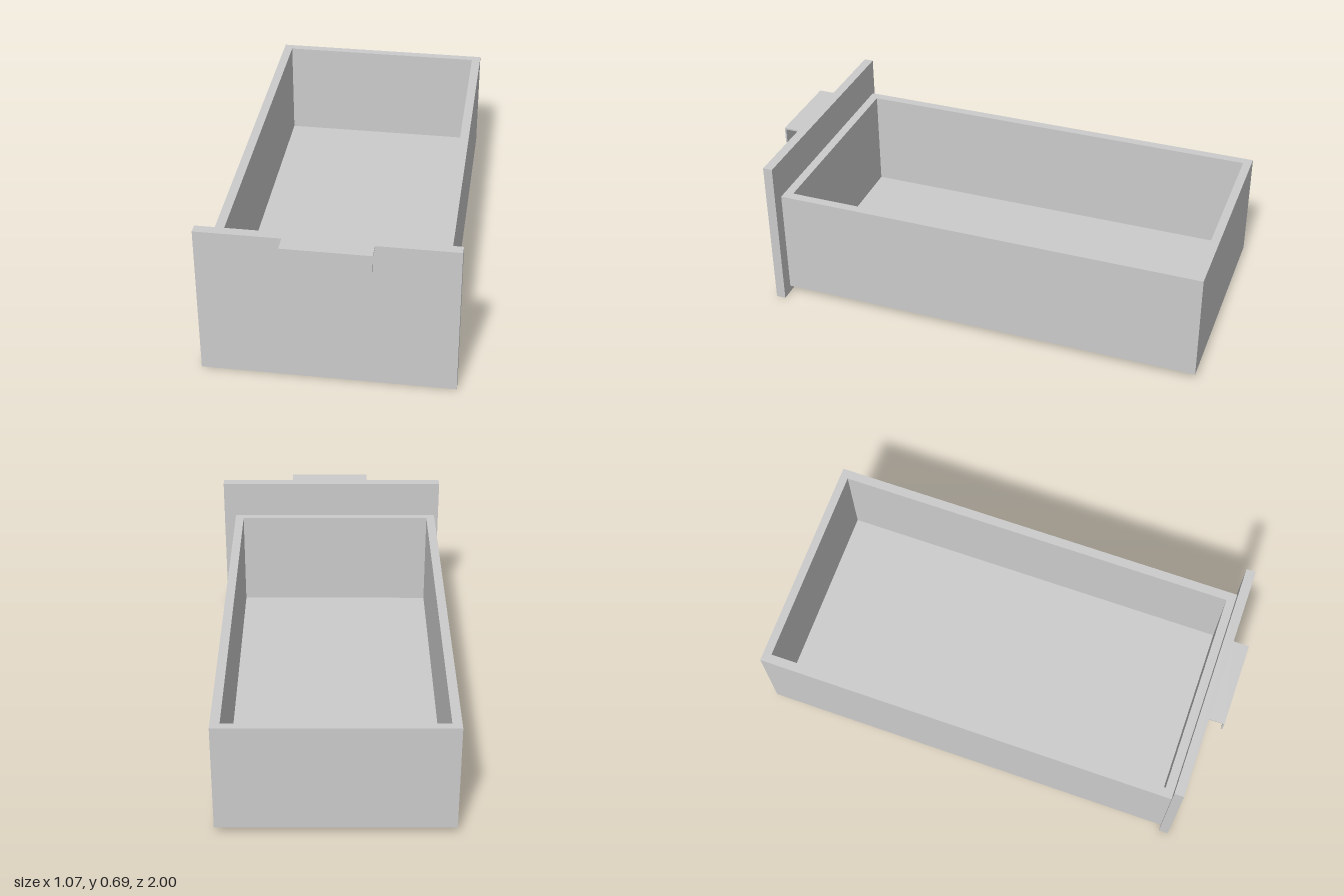
import * as THREE from 'three';

const material = new THREE.MeshStandardMaterial({ color: 0xcccccc, flatShading: true });

// Extruded profile as a named mesh, starting at z = 0
function extrude(name, shape, depth) {
  const mesh = new THREE.Mesh(
    new THREE.ExtrudeGeometry(shape, { depth, bevelEnabled: false }), material);
  mesh.name = name;
  return mesh;
}

// Box given by its lower and upper corners
function block(name, [x0, y0, z0], [x1, y1, z1]) {
  const mesh = new THREE.Mesh(new THREE.BoxGeometry(x1 - x0, y1 - y0, z1 - z0), material);
  mesh.position.set((x0 + x1) / 2, (y0 + y1) / 2, (z0 + z1) / 2);
  mesh.name = name;
  return mesh;
}

const rectangle = (x0, y0, x1, y1) => [[x0, y0], [x1, y0], [x1, y1], [x0, y1]]
  .map(([x, y]) => new THREE.Vector2(x, y));

export function createModel() {
  const group = new THREE.Group();
  group.name = 'drawer';

  const bottom = 0.03, floorTop = 0.061, rim = 0.515;
  const left = 0.477, right = -0.513, back = -1, panelBack = 0.89, panelFront = 0.932;

  // Four walls as one rectangular ring, extruded upward (shape y becomes -z)
  const ring = new THREE.Shape(rectangle(right, -panelBack, left, -back));
  ring.holes.push(new THREE.Path(rectangle(right + 0.04, -0.851, left - 0.04, 0.963)));
  const walls = extrude('walls', ring, rim - bottom);
  walls.rotation.x = -Math.PI / 2;
  walls.position.y = bottom;
  group.add(walls);

  // Floor panel set between the walls
  group.add(block('floor', [right + 0.04, bottom, -0.963], [left - 0.04, floorTop, 0.851]));

  // Front panel
  group.add(block('frontPanel', [-0.533, 0, panelBack], [0.533, 0.685, panelFront]));

  // Thin hooked pull: top plate with a lip hanging down (profile x is z)
  const t = 0.007, top = 0.685;
  const hook = new THREE.Shape([
    [panelFront, top - t], [1 - t, top - t], [1 - t, 0.61],
    [1, 0.61], [1, top], [panelFront, top],
  ].map(([z, y]) => new THREE.Vector2(z, y)));
  const handle = extrude('handle', hook, 0.368);
  handle.rotation.y = -Math.PI / 2;
  handle.position.x = 0.192;
  group.add(handle);

  return group;
}
